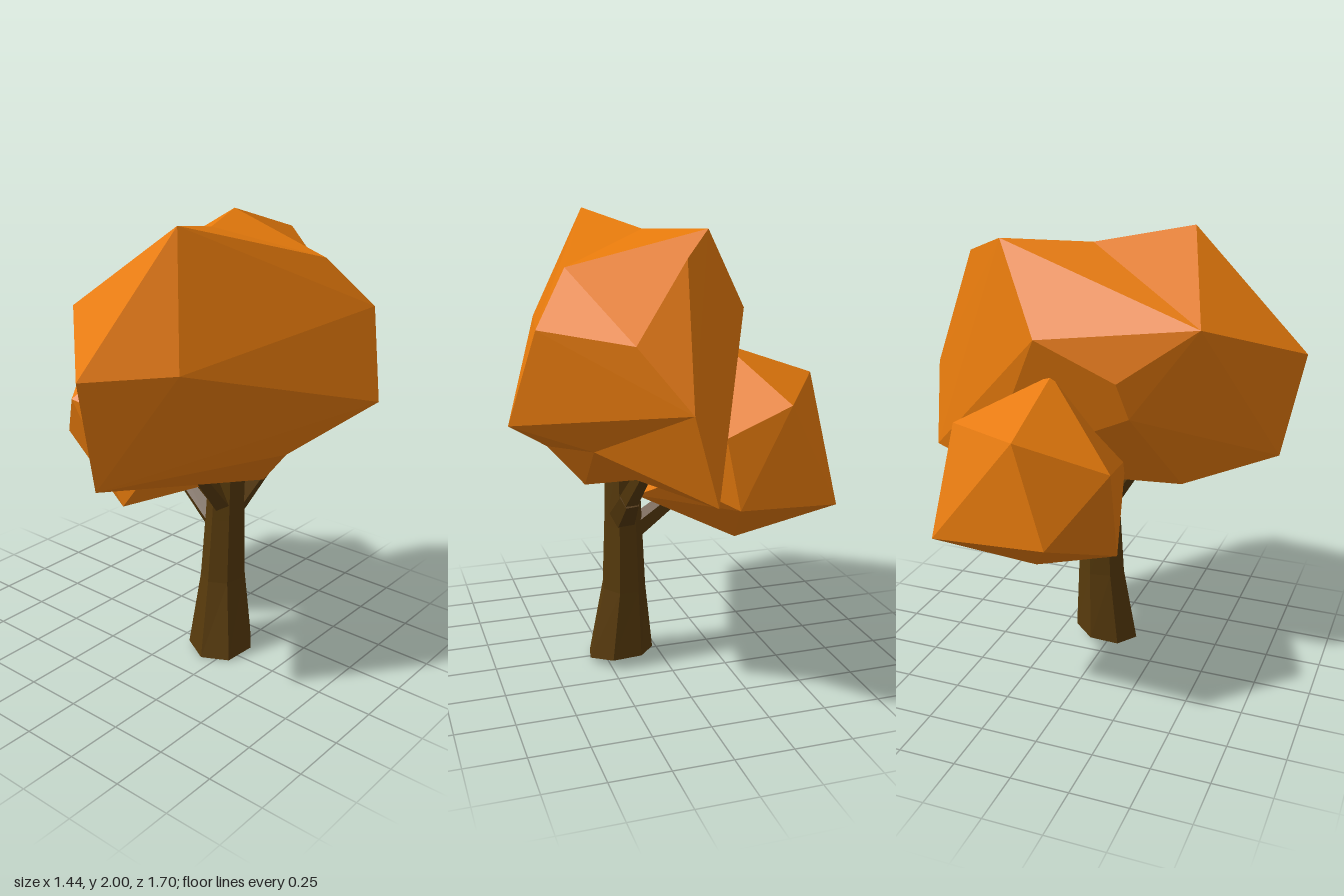
import * as THREE from 'three';
import { ConvexGeometry } from 'three/addons/geometries/ConvexGeometry.js';

const leafMat = new THREE.MeshStandardMaterial({ color: 0xe67a0c, flatShading: true });
const barkMat = new THREE.MeshStandardMaterial({ color: 0x573a0c, flatShading: true });

// Faceted clump of foliage spanned by a few corner points
function clump(name, corners) {
  const mesh = new THREE.Mesh(new ConvexGeometry(corners.map(p => new THREE.Vector3(...p))), leafMat);
  mesh.name = name;
  return mesh;
}

// Tapered low-poly limb between two points
function limb(name, from, to, r0, r1, sides = 5) {
  const a = new THREE.Vector3(...from), b = new THREE.Vector3(...to);
  const dir = b.clone().sub(a);
  const mesh = new THREE.Mesh(new THREE.CylinderGeometry(r1, r0, dir.length(), sides), barkMat);
  mesh.position.copy(a).add(b).multiplyScalar(0.5);
  mesh.quaternion.setFromUnitVectors(new THREE.Vector3(0, 1, 0), dir.normalize());
  mesh.name = name;
  return mesh;
}

// Trunk: stacked seven-sided rings, flared and slightly tilted at the foot
function makeTrunk() {
  const sides = 7;
  const rings = [ // y, centre x, centre z, radius x, radius z
    [0.03, 0.185, -0.03, 0.15, 0.15],
    [0.36, 0.172, -0.055, 0.098, 0.112],
    [0.66, 0.175, -0.062, 0.085, 0.098],
    [0.98, 0.18, -0.068, 0.074, 0.088],
  ];
  const pos = [], idx = [];
  rings.forEach(([y, cx, cz, rx, rz], r) => {
    for (let i = 0; i < sides; i++) {
      const t = (i / sides) * Math.PI * 2;
      const x = cx + rx * Math.sin(t), z = cz + rz * Math.cos(t);
      pos.push(x, r === 0 ? y - 0.17 * (z + 0.05) - 0.05 * (x - cx) : y, z);
    }
  });
  for (let r = 0; r < rings.length - 1; r++) {
    for (let i = 0; i < sides; i++) {
      const a = r * sides + i, b = r * sides + (i + 1) % sides;
      idx.push(a, b, b + sides, a, b + sides, a + sides);
    }
  }
  // End caps
  const top = (rings.length - 1) * sides;
  for (let i = 1; i < sides - 1; i++) idx.push(0, i + 1, i, top, top + i, top + i + 1);
  const geo = new THREE.BufferGeometry();
  geo.setAttribute('position', new THREE.Float32BufferAttribute(pos, 3));
  geo.setIndex(idx);
  geo.computeVertexNormals();
  const mesh = new THREE.Mesh(geo, barkMat);
  mesh.name = 'trunk';
  return mesh;
}

export function createModel() {
  const tree = new THREE.Group();
  tree.name = 'tree';

  // Crown corners used by several clumps
  const peak = [0.24, 2, 0.34], dip = [0.08, 1.93, -0.06], ridge = [-0.08, 1.95, -0.42];
  const leftTop = [0.47, 1.81, -0.33], shoulder = [0.3, 1.56, -0.72], rear = [0.12, 1.32, -0.85];
  const brow = [-0.18, 1.66, 0.49], side = [-0.34, 1.6, -0.16], lowSide = [-0.25, 1.28, 0.22];
  const nose = [0.2, 1.5, 0.85], cheek = [0.43, 1.5, 0.55], chin = [0.19, 1.04, 0.76];
  const lowFront = [0.03, 0.91, 0.37], lowLeft = [0.5, 1.03, -0.05];
  const lowBack = [0.41, 1.12, -0.51], crook = [0.23, 0.98, -0.47];

  const crown = new THREE.Group();
  crown.name = 'crown';
  crown.add(
    clump('mainFoliage', [
      peak, dip, leftTop, shoulder, rear, brow, side, lowSide, nose, cheek, chin,
      lowFront, lowLeft, lowBack, crook, [-0.3, 1.44, 0.18], [0.35, 0.86, -0.1],
    ]),
    // Left flank, undercut behind the trunk
    clump('leftFoliage', [
      peak, leftTop, shoulder, rear, nose, cheek, chin, lowLeft, lowBack,
      [0.72, 1.22, -0.4], [0.62, 1.6, -0.49],
    ]),
    // Ridge running back from the dip in the top
    clump('topFoliage', [dip, ridge, leftTop, shoulder, brow, side, lowSide, rear]),
    // Raised spur at the back
    clump('rearFoliage', [
      ridge, shoulder, rear, side, lowSide, lowFront, lowBack, crook,
      [0.08, 1.86, -0.64], [0.01, 0.95, -0.82], [-0.1, 0.91, -0.52],
    ]),
    // Smaller clump on the right-hand branch
    clump('sideFoliage', [
      [-0.69, 1.29, -0.1], [-0.72, 0.87, 0.04], [-0.49, 1.13, 0.23], [-0.24, 0.65, 0.17],
      [-0.31, 0.58, -0.18], [-0.64, 0.8, -0.5], [-0.43, 1.24, -0.49], [-0.2, 0.82, -0.52],
      [-0.27, 1.44, -0.11], [-0.15, 1.12, -0.48], [0.12, 0.79, -0.1], [0, 1, 0.12], [0.02, 0.92, -0.35],
    ]),
  );
  tree.add(crown);

  // Trunk and its branches
  tree.add(
    makeTrunk(),
    limb('sideBranch', [0.15, 0.6, -0.05], [-0.12, 0.8, -0.07], 0.055, 0.035),
    limb('backBranch', [0.18, 0.69, -0.09], [0.21, 0.85, -0.32], 0.065, 0.045),
    limb('backBranchTip', [0.21, 0.84, -0.3], [0.2, 1, -0.47], 0.045, 0.035),
    limb('frontBranch', [0.19, 0.72, -0.03], [0.14, 0.97, 0.15], 0.055, 0.035),
  );
  return tree;
}
